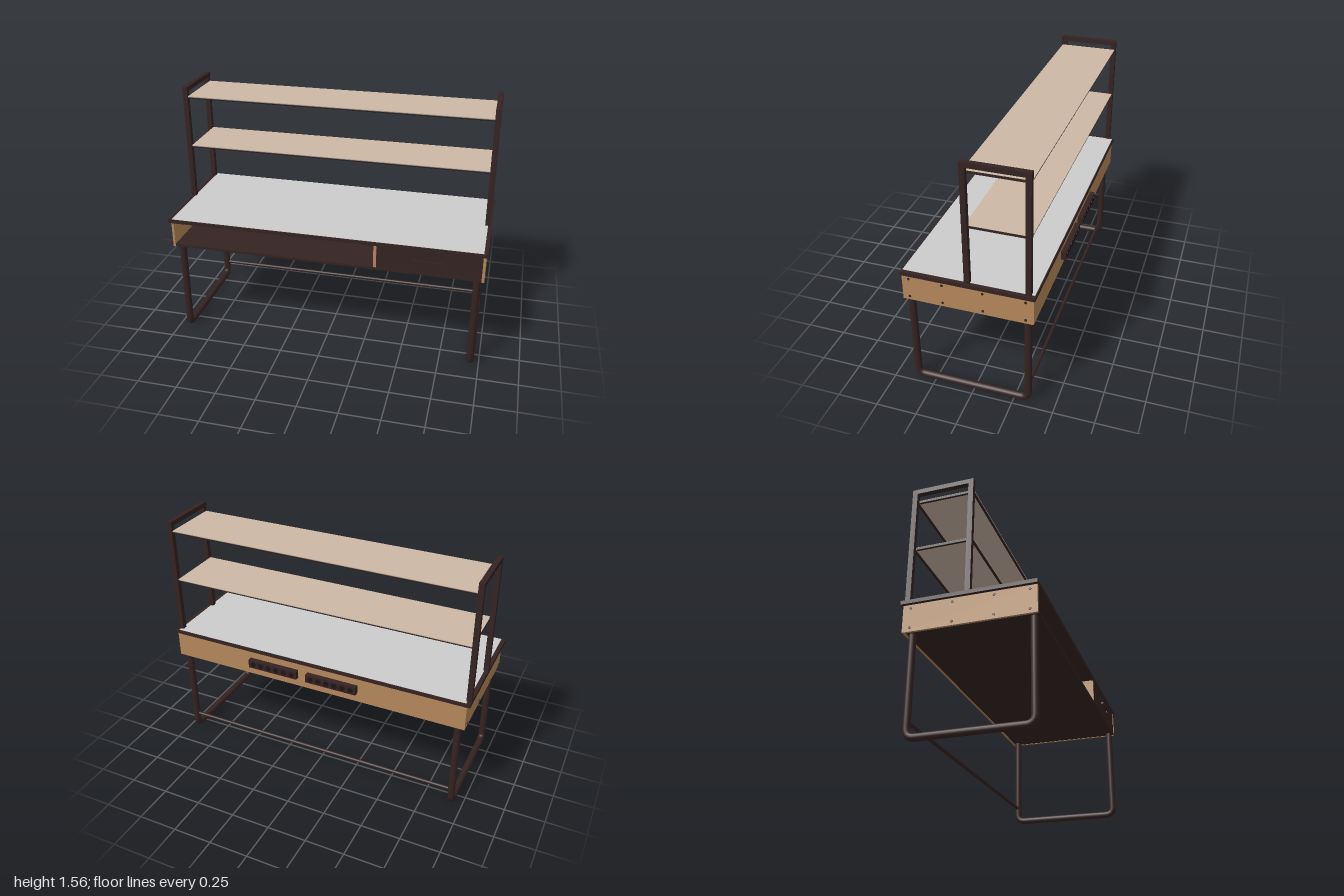
import * as THREE from 'three';

const mat = (name, color) => {
  const m = new THREE.MeshStandardMaterial({ color });
  m.name = name;
  return m;
};

export function createModel() {
  const steel = mat('dark brown steel', 0x352323);
  const socketDark = mat('socket black', 0x1c1314);
  const wood = mat('wood', 0xb5885a);
  const shelfTan = mat('shelf tan', 0xccb8a5);
  const topGrey = mat('desktop grey', 0xcccccc);

  const model = new THREE.Group();
  model.name = 'workbench';
  const add = (name, geometry, material) => {
    const mesh = new THREE.Mesh(geometry, material);
    mesh.name = name;
    model.add(mesh);
    return mesh;
  };
  // Box given by its minimum and maximum on each axis
  const box = (name, material, x0, x1, y0, y1, z0, z1) => {
    const mesh = add(name, new THREE.BoxGeometry(x1 - x0, y1 - y0, z1 - z0), material);
    mesh.position.set((x0 + x1) / 2, (y0 + y1) / 2, (z0 + z1) / 2);
    return mesh;
  };
  // Round rod lying along x
  const rodX = (name, x0, x1, y, z, r) => {
    const rod = add(name, new THREE.CylinderGeometry(r, r, x1 - x0, 16), steel);
    rod.rotation.z = Math.PI / 2;
    rod.position.set((x0 + x1) / 2, y, z);
  };

  // Desktop with a thin grey surface
  box('desktop', steel, -0.998, 0.998, 0.785, 0.808, -0.387, 0.402);
  box('desktopSurface', topGrey, -0.973, 0.973, 0.806, 0.81, -0.38, 0.395);

  // Wooden apron, open at the front on one side
  box('sidePanelRight', wood, -0.978, -0.963, 0.618, 0.785, -0.378, 0.397);
  box('sidePanelLeft', wood, 0.972, 0.988, 0.618, 0.785, -0.378, 0.397);
  box('backPanel', wood, -0.963, 0.972, 0.618, 0.785, -0.378, -0.362);
  box('divider', wood, 0.322, 0.34, 0.636, 0.785, -0.362, 0.394);
  box('bottomPanel', steel, -0.963, 0.972, 0.62, 0.636, -0.362, 0.395);

  // Drawer and its handle
  box('drawer', steel, 0.341, 0.97, 0.637, 0.784, -0.3, 0.394);
  box('drawerHandle', steel, 0.565, 0.745, 0.709, 0.721, 0.404, 0.413);
  for (const x of [0.565, 0.735]) {
    box('handlePost', steel, x, x + 0.01, 0.709, 0.721, 0.394, 0.405);
  }

  // Screw heads on both side panels
  const screwGeo = new THREE.CylinderGeometry(0.008, 0.008, 0.004, 12);
  for (const x of [-0.979, 0.989]) {
    for (const z of [0.355, 0.155, -0.085, -0.332]) {
      for (const y of [0.642, 0.762]) {
        const screw = add('screw', screwGeo, steel);
        screw.rotation.z = Math.PI / 2;
        screw.position.set(x, y, z);
      }
    }
  }

  // Power strips on the back, each with a row of sockets
  const socketGeo = new THREE.CylinderGeometry(0.018, 0.018, 0.004, 16);
  for (const x of [-0.302, 0.1]) {
    box('powerStrip', steel, x, x + 0.338, 0.68, 0.735, -0.409, -0.378);
    for (let i = 0; i < 6; i++) {
      const socket = add('socket', socketGeo, socketDark);
      socket.rotation.x = Math.PI / 2;
      socket.position.set(x + 0.034 + i * 0.054, 0.7075, -0.409);
    }
  }

  // Bent tube legs
  const top = 0.63, low = 0.022, front = 0.365, back = -0.335, bend = 0.05;
  const v = (y, z) => new THREE.Vector3(0, y, z);
  const path = new THREE.CurvePath();
  path.add(new THREE.LineCurve3(v(top, front), v(low + bend, front)));
  path.add(new THREE.QuadraticBezierCurve3(v(low + bend, front), v(low, front), v(low, front - bend)));
  path.add(new THREE.LineCurve3(v(low, front - bend), v(low, back + bend)));
  path.add(new THREE.QuadraticBezierCurve3(v(low, back + bend), v(low, back), v(low + bend, back)));
  path.add(new THREE.LineCurve3(v(low + bend, back), v(top, back)));
  const legGeo = new THREE.TubeGeometry(path, 120, 0.022, 16, false);
  for (const x of [-0.928, 0.945]) add('legFrame', legGeo, steel).position.x = x;
  rodX('stretcher', -0.928, 0.945, 0.116, back, 0.011);

  // Square tube frames that carry the shelves
  for (const x of [-0.998, 0.955]) {
    const x1 = x + 0.031;
    box('shelfPostFront', steel, x, x1, 0.806, 1.558, -0.009, 0.022);
    box('shelfPostBack', steel, x, x1, 0.806, 1.558, -0.361, -0.33);
    box('shelfFrameTop', steel, x, x1, 1.528, 1.558, -0.33, -0.009);
  }

  // Shelves: thin board on a frame of rods
  for (const y of [1.49, 1.16]) {
    for (const z of [0.007, -0.346]) rodX('shelfRod', -0.968, 0.956, y, z, 0.0075);
    for (const x of [-0.968, 0.942]) {
      box('shelfSideRail', steel, x, x + 0.014, y - 0.0075, y + 0.0075, -0.33, -0.009);
    }
    box('shelfBoard', shelfTan, -0.967, 0.955, y + 0.005, y + 0.009, -0.355, 0.015);
  }
  return model;
}
